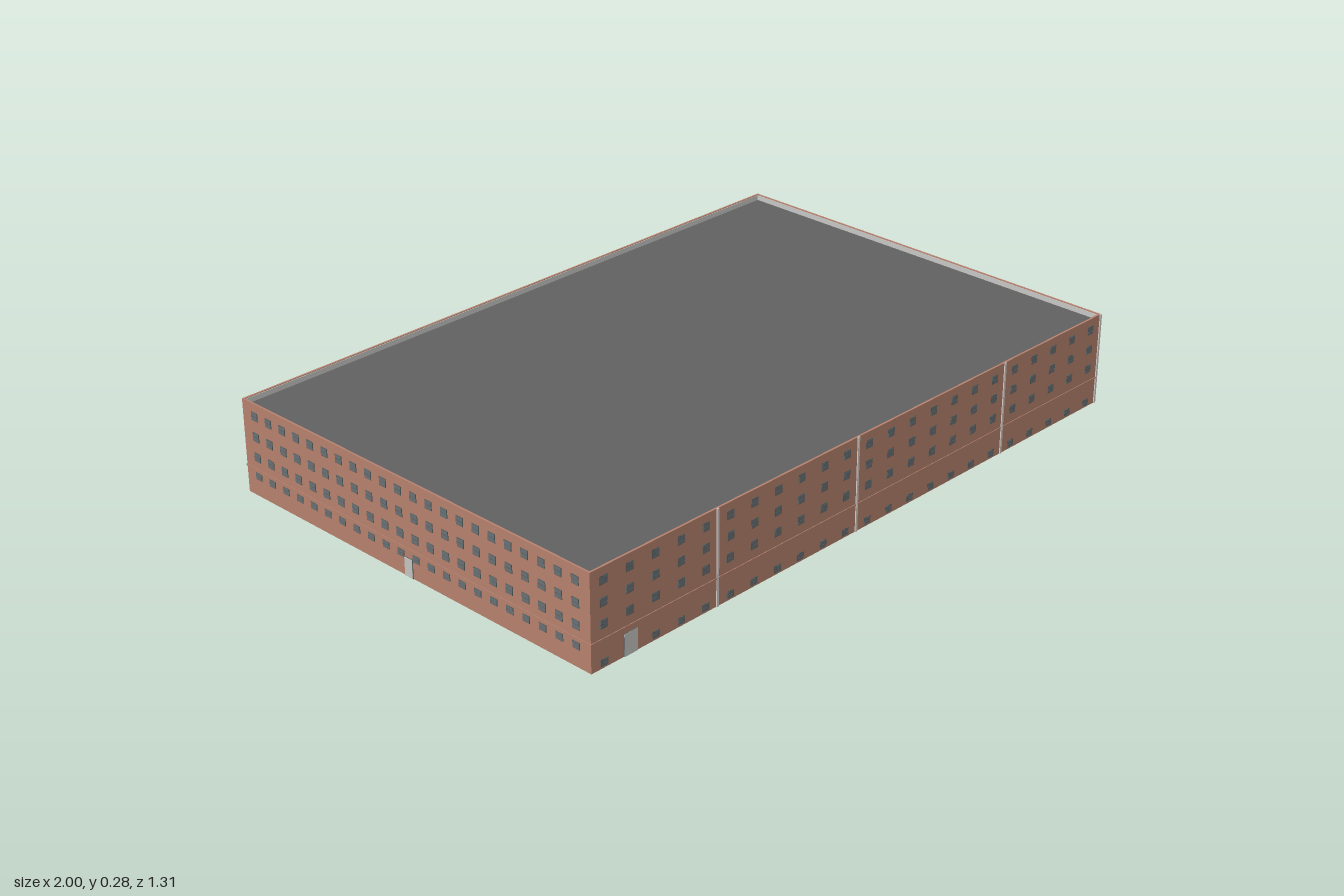
import * as THREE from 'three';
import { mergeGeometries } from 'three/addons/utils/BufferGeometryUtils.js';

const W = 0.997, D = 0.652, H = 0.275, T = 0.006; // half width, half depth, height, wall thickness

const material = (name, color) => {
  const m = new THREE.MeshStandardMaterial({ color });
  m.name = name;
  return m;
};

// Box geometry by centre and size
const box = (x, y, z, w, h, d) => new THREE.BoxGeometry(w, h, d).translate(x, y, z);

// Evenly spaced positions from a to b
const spread = (a, b, n) => Array.from({ length: n }, (_, i) => a + (b - a) * i / (n - 1));

// Rectangular tube standing on the ground
function ring(hw, hd, t, h) {
  const rect = (C, x, z) => new C([
    new THREE.Vector2(-x, -z), new THREE.Vector2(x, -z),
    new THREE.Vector2(x, z), new THREE.Vector2(-x, z)]);
  const shape = rect(THREE.Shape, hw, hd);
  shape.holes.push(rect(THREE.Path, hw - t, hd - t));
  return new THREE.ExtrudeGeometry(shape, { depth: h, bevelEnabled: false }).rotateX(-Math.PI / 2);
}

export function createModel() {
  const mats = {
    brick: material('brick', 0xb4806d),
    roof: material('roof grey', 0x606060),
    lining: material('inner wall grey', 0xc6c6c4),
    frame: material('window frame', 0x56605c),
    glass: material('window glass', 0x686f74),
    door: material('door grey', 0xc2c2bf),
    pipe: material('downpipe', 0xd2c9c4),
  };
  const model = new THREE.Group();
  model.name = 'building';
  const add = (parent, name, geometry, mat) => {
    const mesh = new THREE.Mesh(geometry, mat);
    mesh.name = name;
    parent.add(mesh);
  };

  // Hollow shell, open below, with a sunken flat roof and a pale ceiling
  add(model, 'brickWalls', ring(W, D, T, H), mats.brick);
  add(model, 'innerWalls', ring(W - T, D - T, 0.002, H - 0.002), mats.lining);
  add(model, 'roof', box(0, 0.257, 0, 2 * (W - T), 0.002, 2 * (D - T)), mats.roof);
  add(model, 'ceiling', box(0, 0.255, 0, 2 * (W - T), 0.002, 2 * (D - T)), mats.lining);
  add(model, 'stringCourse', ring(W + 0.002, D + 0.002, 0.004, 0.004).translate(0, 0.078, 0), mats.brick);

  // One facade: x runs to the right as seen from outside, z points outwards
  function facade(name, angle, distance, { columns, rows, doors, pipes = [] }) {
    const side = new THREE.Group();
    side.name = name;
    side.rotation.y = angle;
    const frames = [], panes = [], doorFrames = [], leaves = [];
    for (const [y, h] of rows) {
      for (const x of columns) {
        // No window where a door stands
        if (doors.some(d => Math.abs(d.x - x) < d.w / 2 + 0.012 && y - h / 2 < d.h)) continue;
        const w = 0.025;
        frames.push(box(x, y, distance + 0.0005, w, h, 0.002));
        // Upper and lower sash
        for (const s of [-1, 1])
          panes.push(box(x, y + s * h * 0.24, distance + 0.0015, w - 0.002, h * 0.4, 0.001));
      }
    }
    // Doors pass through the wall
    for (const { x, w, h } of doors) {
      doorFrames.push(box(x, h / 2, distance - 0.005, w, h, 0.014));
      leaves.push(box(x, h / 2, distance + 0.0024, w - 0.001, h - 0.001, 0.001));
    }
    add(side, 'windowFrames', mergeGeometries(frames), mats.frame);
    add(side, 'windowPanes', mergeGeometries(panes), mats.glass);
    add(side, 'doorFrames', mergeGeometries(doorFrames), mats.frame);
    add(side, 'doorLeaves', mergeGeometries(leaves), mats.door);
    for (const x of pipes)
      add(side, 'downpipe', box(x, H / 2, distance + 0.001, 0.007, H, 0.004), mats.pipe);
    model.add(side);
  }

  const evenRows = [[0.238, 0.025], [0.177, 0.025], [0.117, 0.025], [0.06, 0.02]];
  const sideColumns = [...spread(-0.603, -0.282, 7), ...spread(-0.183, 0.603, 15)];

  facade('frontFacade', 0, D, {
    columns: spread(-0.954, 0.95, 23),
    rows: [[0.24, 0.024], [0.181, 0.024], [0.121, 0.024], [0.016, 0.02]],
    doors: [{ x: -0.867, w: 0.046, h: 0.063 }],
    pipes: [-0.567, -0.046, 0.56, 0.994],
  });
  facade('rightFacade', Math.PI / 2, W, {
    columns: sideColumns, rows: evenRows,
    doors: [{ x: -0.442, w: 0.025, h: 0.055 }, { x: 0.21, w: 0.025, h: 0.055 }],
  });
  facade('backFacade', Math.PI, D, {
    columns: spread(-0.955, 0.955, 32), rows: evenRows,
    doors: [{ x: 0, w: 0.03, h: 0.055 }],
  });
  facade('leftFacade', -Math.PI / 2, W, {
    columns: spread(-0.603, 0.603, 22), rows: evenRows,
    doors: [{ x: 0, w: 0.03, h: 0.055 }],
  });
  return model;
}
